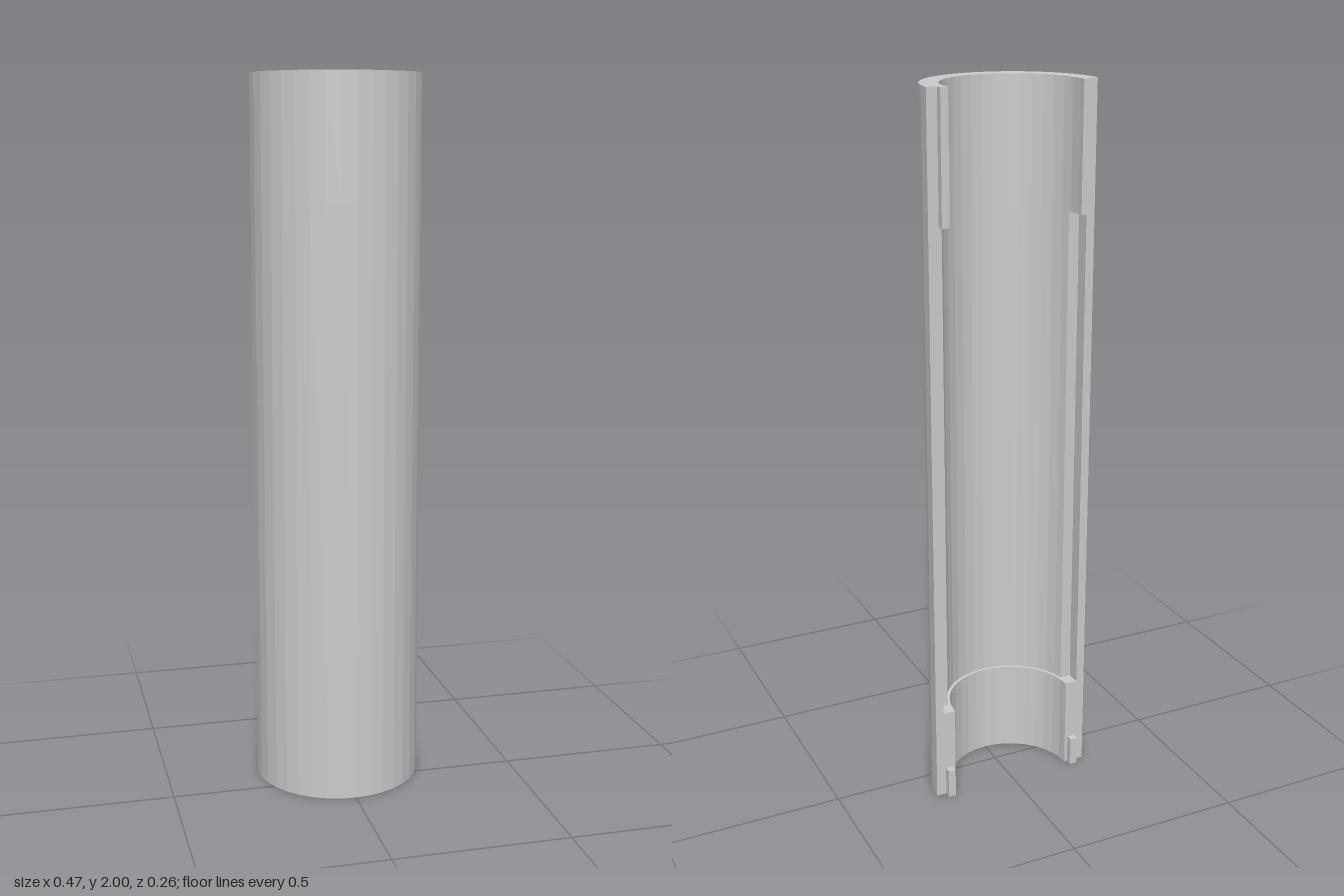
import * as THREE from 'three';

const OUTER = 0.237, BORE = 0.187, COLLAR = 0.178; // radii
const TAB_OUT = 0.208, TAB_H = 0.02;               // locating tab
const SLOT_OUT = 0.213, SLOT_D = 0.04;             // slot along the split face
const SEG = 18, AXIS_Z = -0.1085;

// Half-ring outline; `end` lists the corners of the right split face, outside to inside,
// and `drop` is how far below the split plane the inner arc begins.
function halfRing(inner, end, drop = 0) {
  const pts = [];
  for (let i = 0; i <= SEG; i++) {
    const a = Math.PI * (1 + i / SEG);
    pts.push(new THREE.Vector2(OUTER * Math.cos(a), OUTER * Math.sin(a)));
  }
  end.forEach(([x, y]) => pts.push(new THREE.Vector2(x, y)));
  const a0 = Math.asin(drop / inner);
  const angles = [a0];
  for (let i = 1; i < SEG; i++) {
    const a = Math.PI * i / SEG;
    if (a > a0 + 0.03 && a < Math.PI - a0 - 0.03) angles.push(a);
  }
  angles.push(Math.PI - a0);
  angles.forEach(a => pts.push(new THREE.Vector2(inner * Math.cos(a), -inner * Math.sin(a))));
  [...end].reverse().forEach(([x, y]) => pts.push(new THREE.Vector2(-x, y)));
  return new THREE.Shape(pts);
}

export function createModel() {
  const group = new THREE.Group();
  group.name = 'halfTube';
  const material = new THREE.MeshStandardMaterial({ color: 0xcccccc, flatShading: true });

  const tab = [[TAB_OUT, 0], [TAB_OUT, TAB_H], [BORE, TAB_H]];
  const slot = [[SLOT_OUT, 0], [SLOT_OUT, -SLOT_D]];

  // Sections stacked from bottom to top
  const sections = [
    ['tabbedCollar', 0, 0.085, halfRing(COLLAR, [...tab, [BORE, 0]])],
    ['plainCollar', 0.085, 0.265, halfRing(COLLAR, [])],
    ['slottedWall', 0.265, 1.655, halfRing(BORE, slot, SLOT_D)],
    ['tabbedTop', 1.655, 2, halfRing(BORE, tab)],
  ];
  for (const [name, y0, y1, shape] of sections) {
    const geometry = new THREE.ExtrudeGeometry(shape, { depth: y1 - y0, bevelEnabled: false });
    geometry.rotateX(-Math.PI / 2);
    geometry.translate(0, y0, AXIS_Z);
    const mesh = new THREE.Mesh(geometry, material);
    mesh.name = name;
    group.add(mesh);
  }
  return group;
}
